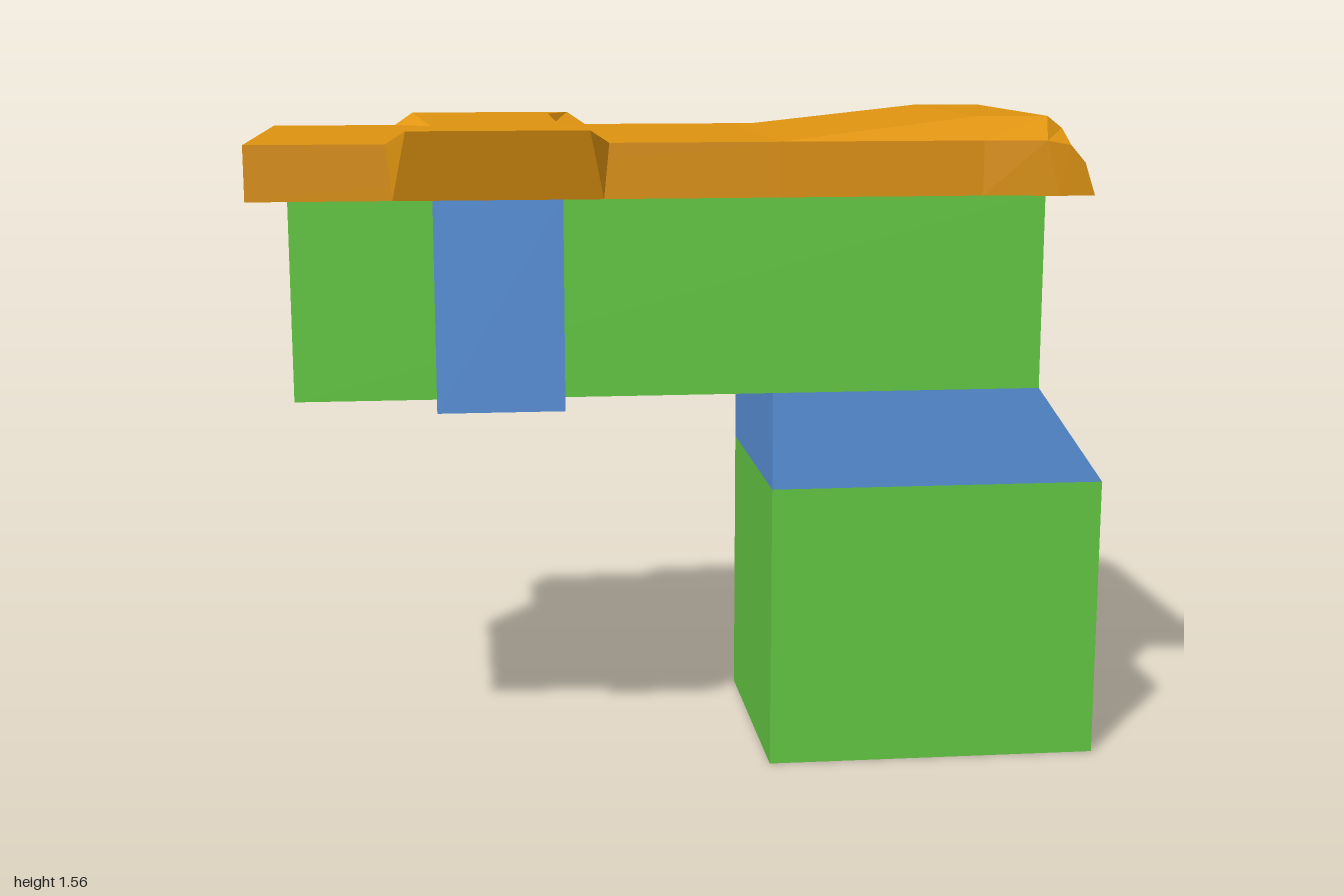
import * as THREE from 'three';

const mat = (color) => new THREE.MeshStandardMaterial({ color, flatShading: true });

function add(group, name, geometry, material) {
  const mesh = new THREE.Mesh(geometry, material);
  mesh.name = name;
  group.add(mesh);
}

// Box given by its limits on each axis
function boxBetween(x0, x1, y0, y1, halfZ) {
  return new THREE.BoxGeometry(x1 - x0, y1 - y0, 2 * halfZ)
    .translate((x0 + x1) / 2, (y0 + y1) / 2, 0);
}

function fromTriangles(points) {
  const g = new THREE.BufferGeometry();
  g.setAttribute('position', new THREE.Float32BufferAttribute(points.flat(), 3));
  g.computeVertexNormals();
  return g;
}

// Lid: cross-sections along x, with a raised crown and a rounded, flared nose
function lidGeometry() {
  const y0 = 1.385, crown = 0.325;
  // x, crown height, edge x, edge height, half width
  const sections = [
    [-1, 1.51, -1, 1.51, 0.42],
    [0.19, 1.51, 0.19, 1.51, 0.42],
    [0.66, 1.56, 0.66, 1.51, 0.42],
    [0.832, 1.56, 0.8, 1.51, 0.445],
    [0.868, 1.532, 0.855, 1.5, 0.445],
    [0.895, 1.475, 0.89, 1.46, 0.445],
    [0.915, y0, 0.915, y0, 0.445],
  ];
  const rings = sections.map(([x, yc, xe, ye, w]) => [
    [x, y0, -w], [x, y0, w], [xe, ye, w], [x, yc, crown], [x, yc, -crown], [xe, ye, -w],
  ]);
  const tris = [];
  for (let i = 0; i < rings.length - 1; i++) {
    for (let j = 0; j < 6; j++) {
      const k = (j + 1) % 6, a = rings[i], b = rings[i + 1];
      tris.push(a[j], b[j], b[k], a[j], b[k], a[k]);
    }
  }
  // Flat rear end
  for (let j = 1; j < 5; j++) tris.push(rings[0][0], rings[0][j], rings[0][j + 1]);
  return fromTriangles(tris);
}

// Raised strap over the lid: one quarter, mirrored in x and z
function strapGeometry() {
  const p = {
    O: [0, 1.54, 0], C: [0.1475, 1.54, 0], D: [0.1475, 1.505, 0],
    S: [0, 1.54, 0.46], T: [0.2025, 1.54, 0.46],
    N: [0.1475, 1.54, 0.36], M: [0.1475, 1.505, 0.325],
    L: [0.2475, 1.51, 0.42], B: [0.235, 1.385, 0.422], K: [0, 1.385, 0.422],
  };
  const faces = 'STN SNC SCO SKB SBT TBL TLM TMN NMD NDC'.split(' ');
  const tris = [];
  for (const sx of [1, -1]) {
    for (const sz of [1, -1]) {
      for (const face of faces) {
        const corners = [...face].map((c) => [p[c][0] * sx - 0.4425, p[c][1], p[c][2] * sz]);
        if (sx * sz < 0) corners.reverse();
        tris.push(...corners);
      }
    }
  }
  return fromTriangles(tris);
}

export function createModel() {
  const green = mat(0x66cc44), blue = mat(0x5a94dd), gold = mat(0xe09410);
  const model = new THREE.Group();
  model.name = 'lShapedBlock';

  // Upright block and horizontal body
  add(model, 'lowerBlock', boxBetween(0.195, 1, 0, 0.685, 0.322), green);
  add(model, 'upperBody', boxBetween(-0.915, 0.835, 0.918, 1.385, 0.322), green);

  // Sloped neck joining them
  const neck = new THREE.Shape([
    new THREE.Vector2(0.195, 0.685), new THREE.Vector2(1, 0.685),
    new THREE.Vector2(0.835, 0.918), new THREE.Vector2(0.195, 0.918),
  ]);
  add(model, 'slopedNeck', new THREE.ExtrudeGeometry(neck, { depth: 0.644, bevelEnabled: false })
    .translate(0, 0, -0.322), blue);

  // Band around the body, with green edges facing along x
  add(model, 'bodyBand', boxBetween(-0.59, -0.295, 0.89, 1.385, 0.35),
    [green, green, blue, blue, blue, blue]);

  add(model, 'lid', lidGeometry(), gold);
  add(model, 'lidStrap', strapGeometry(), gold);
  return model;
}
